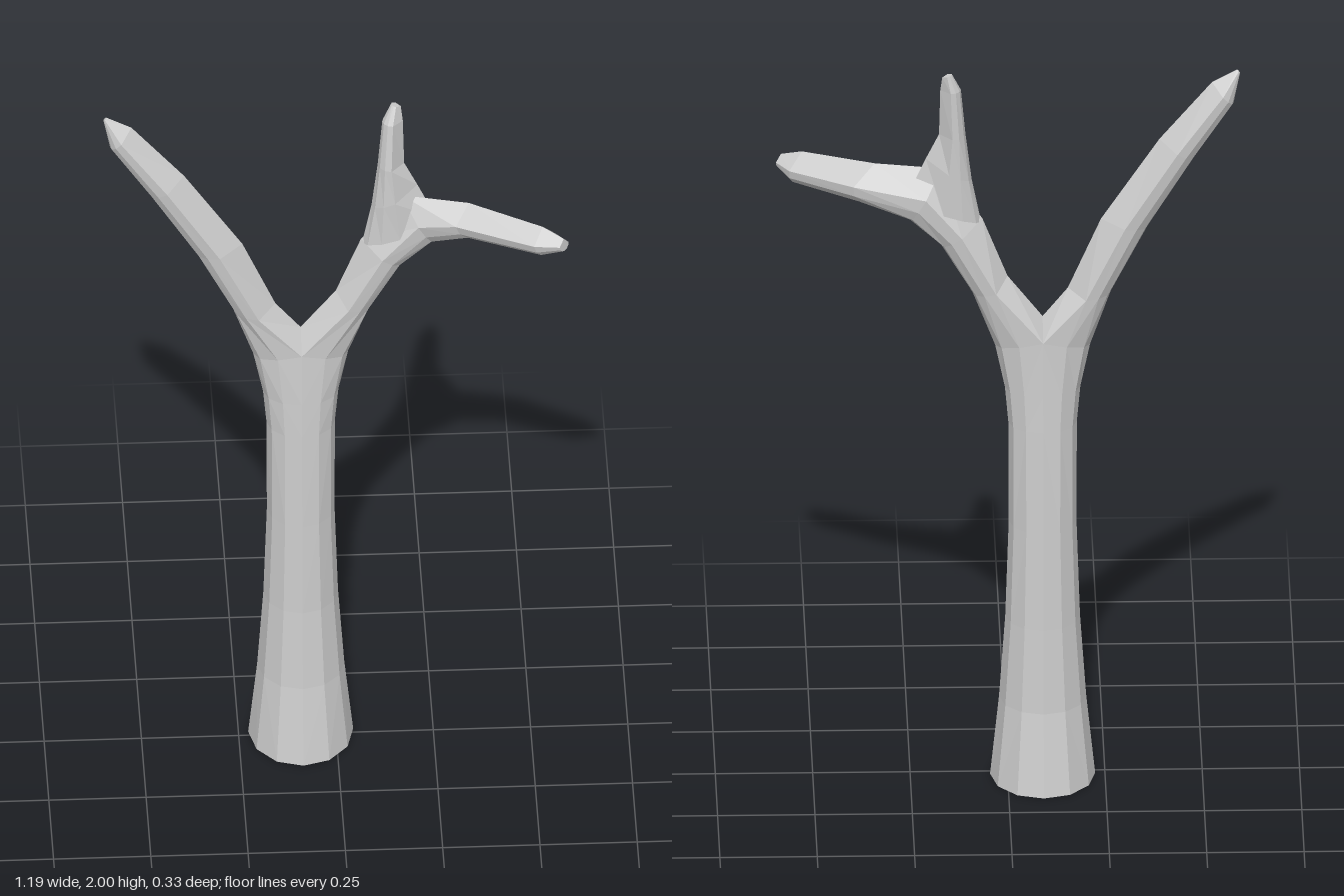
import * as THREE from 'three';

const AXIS = -0.09; // x of the trunk's centre line
const ARC = 6;      // facets around the outer half of a limb

// One cross-section: a half ellipse round the outer side plus one inner ridge point.
// o = outer [x,y], i = inner ridge [x,y], z = centre, h = half depth,
// s = seam between the halves [x,y], k = x skew for limbs that turn forwards
function ring({ o, i, z, h, s, k = 0 }) {
  const seam = s || [(o[0] + i[0]) / 2, (o[1] + i[1]) / 2];
  const pts = [];
  for (let n = 0; n <= ARC; n++) {
    const t = Math.PI * n / ARC, a = Math.sin(t), c = Math.cos(t);
    pts.push([
      seam[0] + (o[0] - seam[0]) * a - k * c,
      seam[1] + (o[1] - seam[1]) * a,
      z + h * c,
    ]);
  }
  pts.push([i[0], i[1], z]);
  return pts;
}

// Skin a list of sections; open sections (trunk halves) get no inner wall
function loft(name, sections, flip, material) {
  const rings = sections.map(ring), pos = [];
  const tri = (a, b, c) => pos.push(...a, ...(flip ? c : b), ...(flip ? b : c));
  const N = ARC + 2;
  for (let r = 0; r < rings.length - 1; r++) {
    const A = rings[r], B = rings[r + 1];
    const count = sections[r].open && sections[r + 1].open ? ARC : N;
    for (let n = 0; n < count; n++) {
      const m = (n + 1) % N;
      tri(A[n], A[m], B[m]);
      tri(A[n], B[m], B[n]);
    }
  }
  // End caps
  const first = rings[0], last = rings[rings.length - 1];
  for (let n = 1; n < N - 1; n++) {
    tri(first[0], first[n + 1], first[n]);
    tri(last[0], last[n], last[n + 1]);
  }
  const g = new THREE.BufferGeometry();
  g.setAttribute('position', new THREE.Float32BufferAttribute(pos, 3));
  g.computeVertexNormals();
  const mesh = new THREE.Mesh(g, material);
  mesh.name = name;
  return mesh;
}

// Trunk half up to the fork: [height, half width, z centre, half depth]
function trunkHalf(side) {
  const rows = [
    [0, 0.135, -0.016, 0.152],
    [0.22, 0.112, -0.014, 0.115],
    [0.45, 0.096, -0.016, 0.098],
    [0.72, 0.087, -0.015, 0.086],
    [1.0, 0.088, -0.014, 0.074],
    [1.1, 0.097, -0.014, 0.069],
  ];
  const list = rows.map(([y, w, z, h]) => ({
    o: [AXIS + side * w, y], i: [AXIS, y], s: [AXIS, y], z, h, open: true,
  }));
  // Fork: seam dips at front and back, ridge stays higher
  list.push({ o: [AXIS + side * 0.122, 1.22], s: [AXIS, 1.25], i: [AXIS, 1.3], z: -0.016, h: 0.062, open: true });
  return list;
}

export function createModel() {
  const group = new THREE.Group();
  group.name = 'bareTree';
  const bark = new THREE.MeshStandardMaterial({ color: 0xcccccc, flatShading: true });

  // Right half of the trunk sweeping into the long straight limb
  group.add(loft('trunkAndStraightLimb', [
    ...trunkHalf(-1),
    { o: [-0.265, 1.37], i: [-0.155, 1.38], s: [-0.2, 1.365], z: -0.015, h: 0.053 },
    { o: [-0.36, 1.555], i: [-0.24, 1.575], z: -0.015, h: 0.05 },
    { o: [-0.48, 1.75], i: [-0.39, 1.8], z: -0.015, h: 0.048 },
    { o: [-0.58, 1.9], i: [-0.525, 1.96], z: -0.015, h: 0.034 },
    { o: [-0.597, 1.985], i: [-0.59, 1.995], z: -0.015, h: 0.004 },
  ], true, bark));

  // Left half of the trunk bending out into the limb that turns forwards
  group.add(loft('trunkAndBentLimb', [
    ...trunkHalf(1),
    { o: [0.09, 1.37], i: [0.0, 1.415], s: [0.03, 1.385], z: -0.015, h: 0.053 },
    { o: [0.17, 1.505], i: [0.065, 1.58], z: -0.015, h: 0.05 },
    { o: [0.25, 1.575], i: [0.17, 1.72], z: -0.01, h: 0.045 },
    { o: [0.36, 1.61], i: [0.34, 1.718], z: 0.028, h: 0.03, k: 0.045 },
    { o: [0.535, 1.622], i: [0.525, 1.708], z: 0.125, h: 0.028, k: 0.028 },
    { o: [0.58, 1.65], i: [0.578, 1.688], z: 0.153, h: 0.012, k: 0.012 },
  ], false, bark));

  // Short upright twig growing from the bend
  group.add(loft('uprightTwig', [
    { o: [0.068, 1.57], i: [0.26, 1.64], z: -0.014, h: 0.043 },
    { o: [0.092, 1.69], i: [0.21, 1.75], z: -0.014, h: 0.042 },
    { o: [0.108, 1.82], i: [0.176, 1.82], z: -0.016, h: 0.038 },
    { o: [0.12, 1.95], i: [0.173, 1.95], z: -0.025, h: 0.026 },
    { o: [0.143, 1.998], i: [0.168, 1.99], z: -0.034, h: 0.01 },
  ], true, bark));

  return group;
}
